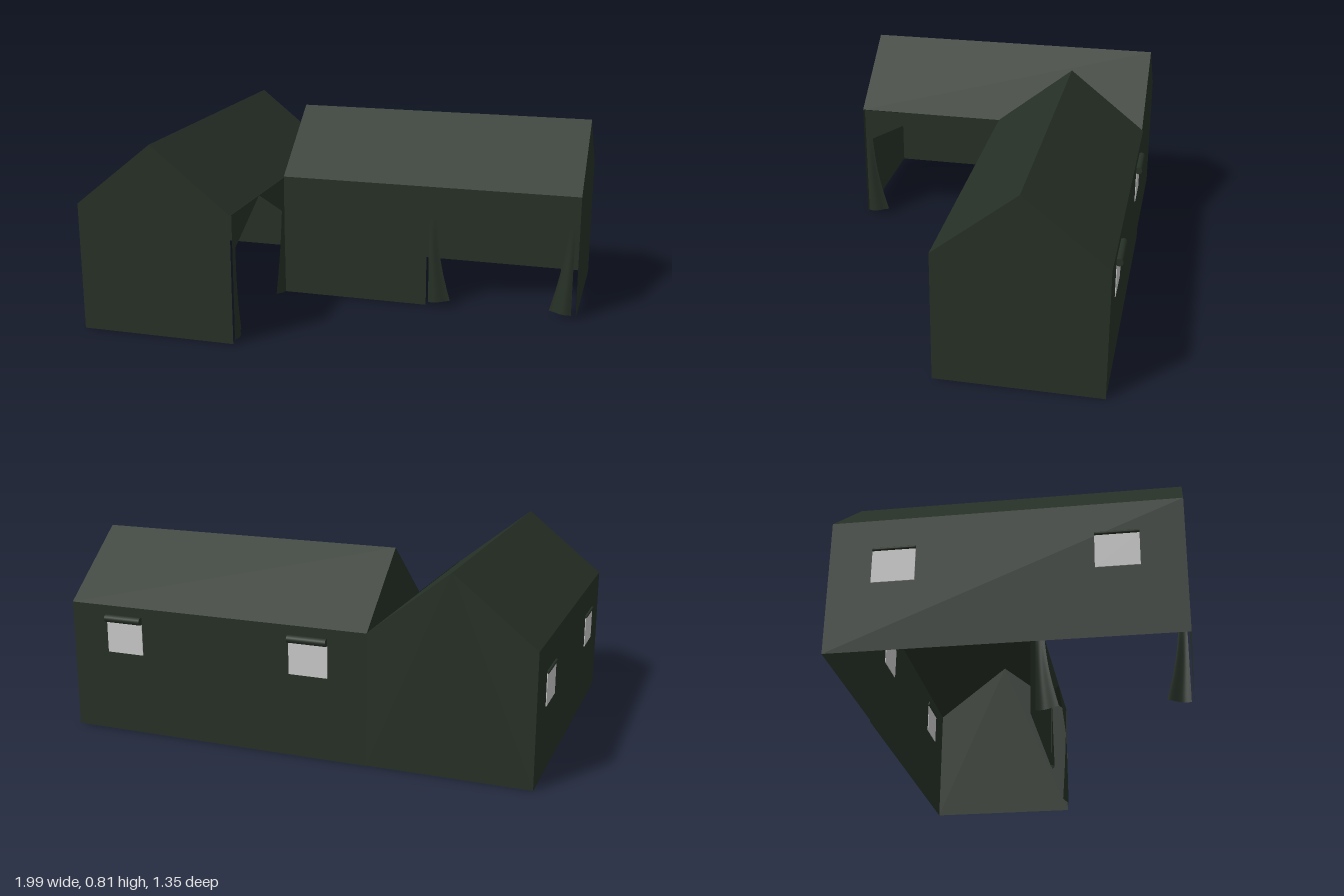
import * as THREE from 'three';

const canvas = new THREE.MeshStandardMaterial({ color: 0x263026, side: THREE.DoubleSide });
canvas.name = 'dark green canvas';
const pane = new THREE.MeshStandardMaterial({ color: 0xcacaca, side: THREE.DoubleSide });
pane.name = 'pale window';

const EAVE = 0.545, RIDGE = 0.812, BAY = 0.65;

// Flat canvas panel from 3D corners in order (fan of triangles)
function panel(name, corners) {
  const g = new THREE.BufferGeometry();
  g.setAttribute('position', new THREE.Float32BufferAttribute(corners.flat(), 3));
  const index = [];
  for (let i = 1; i < corners.length - 1; i++) index.push(0, i, i + 1);
  g.setIndex(index);
  g.computeVertexNormals();
  const m = new THREE.Mesh(g, canvas);
  m.name = name;
  return m;
}

// Tied-back curtain: outer edge straight, inner edge curved, soft folds towards the hem
function curtain(name, mirrored) {
  const g = new THREE.PlaneGeometry(1, 1, 12, 12);
  const p = g.attributes.position;
  for (let i = 0; i < p.count; i++) {
    const s = p.getX(i) + 0.5, t = 0.5 - p.getY(i);
    const inner = 0.043 + 0.064 * t - 0.012 * Math.sin(Math.PI * t);
    const u = 0.01 + (inner - 0.01) * s;
    const y = 0.4 + (0.015 + 0.01 * s - 0.4) * t;
    const fold = 0.01 * t * Math.sin(s * Math.PI * 1.5);
    p.setXYZ(i, mirrored ? BAY - u : u, y, fold);
  }
  g.computeVertexNormals();
  const m = new THREE.Mesh(g, canvas);
  m.name = name;
  return m;
}

// Open bay: arched valance corners above two curtains
function doorway(name) {
  const door = new THREE.Group();
  door.name = name;
  door.add(
    panel('valanceRight', [[0.01, EAVE, 0], [0.01, 0.4, 0], [0.043, 0.4, 0], [BAY / 2, EAVE, 0]]),
    panel('valanceLeft', [[BAY - 0.01, EAVE, 0], [BAY / 2, EAVE, 0], [BAY - 0.043, 0.4, 0], [BAY - 0.01, 0.4, 0]]),
    curtain('curtainRight', false),
    curtain('curtainLeft', true)
  );
  return door;
}

// Window plate with its cover rolled up above; outward is local -z
function windowUnit(width, rollRadius) {
  const w = new THREE.Group();
  w.name = 'window';
  const plate = new THREE.Mesh(new THREE.BoxGeometry(width, 0.132, 0.006), pane);
  plate.name = 'windowPane';
  const roll = new THREE.Mesh(new THREE.CylinderGeometry(rollRadius, rollRadius, width, 12), canvas);
  roll.name = 'rolledCover';
  roll.rotation.z = Math.PI / 2;
  roll.position.set(0, 0.066 + rollRadius, -rollRadius * 0.6);
  w.add(plate, roll);
  return w;
}

export function createModel() {
  const tent = new THREE.Group();
  tent.name = 'lShapedTent';

  // Side wing, ridge running front to back
  const x0 = -0.99, x1 = -0.322, xm = (x0 + x1) / 2, zb = -0.652, zf = 0.672;
  const side = new THREE.Group();
  side.name = 'sideWing';
  for (const [name, z] of [['frontGable', zf], ['backGable', zb]]) {
    side.add(panel(name, [[xm, RIDGE, z], [x0, EAVE, z], [x0, 0, z], [x1, 0, z], [x1, EAVE, z]]));
  }
  side.add(
    panel('outerWall', [[x0, 0, zb], [x0, 0, zf], [x0, EAVE, zf], [x0, EAVE, zb]]),
    panel('outerRoof', [[x0, EAVE, zb], [x0, EAVE, zf], [xm, RIDGE, zf], [xm, RIDGE, zb]]),
    panel('innerRoof', [[xm, RIDGE, zb], [xm, RIDGE, zf], [x1, EAVE, zf], [x1, EAVE, zb]])
  );
  for (const z of [-0.405, 0.425]) {
    const w = windowUnit(0.165, 0.006);
    w.rotation.y = Math.PI / 2;
    w.position.set(x0, 0.345, z);
    side.add(w);
  }
  const sideDoor = doorway('sideDoorway');
  sideDoor.rotation.y = Math.PI / 2;
  sideDoor.position.set(-0.318, 0, zf);
  side.add(sideDoor);

  // Main wing, ridge running left to right
  const a = -0.325, b = 0.995, back = -0.657, front = 0.012, mid = (back + front) / 2;
  const main = new THREE.Group();
  main.name = 'mainWing';
  main.add(
    panel('endGable', [[b, RIDGE, mid], [b, EAVE, front], [b, 0, front], [b, 0, back], [b, EAVE, back]]),
    panel('junctionGable', [[a, RIDGE, mid], [a, EAVE, back], [a, EAVE, front]]),
    panel('backWall', [[b, 0, back], [a, 0, back], [a, EAVE, back], [b, EAVE, back]]),
    panel('frontWall', [[a, 0, front], [0.335, 0, front], [0.335, EAVE, front], [a, EAVE, front]]),
    panel('frontRoof', [[a, EAVE, front], [b, EAVE, front], [b, RIDGE, mid], [a, RIDGE, mid]]),
    panel('backRoof', [[a, RIDGE, mid], [b, RIDGE, mid], [b, EAVE, back], [a, EAVE, back]])
  );
  for (const x of [-0.08, 0.747]) {
    const w = windowUnit(0.165, 0.016);
    w.position.set(x, 0.41, back);
    main.add(w);
  }
  const frontDoor = doorway('frontDoorway');
  frontDoor.position.set(0.335, 0, front);
  main.add(frontDoor);

  tent.add(side, main);
  return tent;
}
